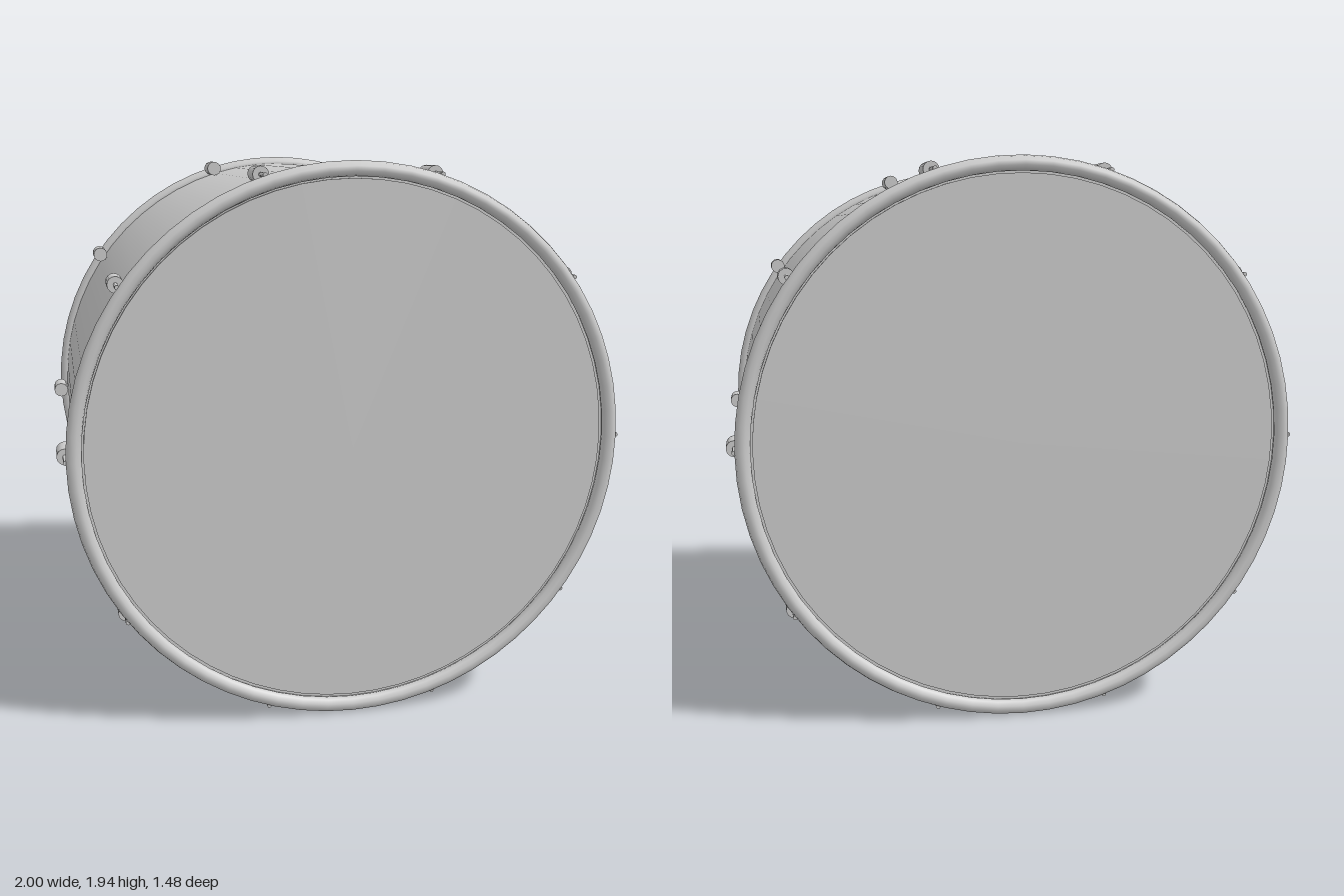
import * as THREE from 'three';

const CENTER_Y = 0.975;
const SHELL_R = 0.943;
const LUG_R = 0.972;
const LUGS = 10;

export function createModel() {
  const model = new THREE.Group();
  model.name = 'drum';
  const grey = new THREE.MeshStandardMaterial({ color: 0xcccccc });
  grey.name = 'light grey';

  const add = (parent, name, geometry, x = 0, y = 0, z = 0) => {
    const mesh = new THREE.Mesh(geometry, grey);
    mesh.name = name;
    mesh.position.set(x, y, z);
    parent.add(mesh);
  };
  // Cylinder lying along z
  const rod = (radius, length, sides) =>
    new THREE.CylinderGeometry(radius, radius, length, sides).rotateX(Math.PI / 2);

  const drum = new THREE.Group();
  drum.name = 'drumBody';
  drum.position.y = CENTER_Y;
  model.add(drum);

  // Closed barrel
  add(drum, 'shell', rod(SHELL_R, 1.4, 64));

  const hoopGeometry = new THREE.TorusGeometry(0.945, 0.026, 10, 64);
  const headGeometry = rod(0.913, 0.03, 64);
  const lugGeometry = rod(0.028, 0.106, 16);
  const tensionRodGeometry = rod(0.008, 0.1, 10);

  // Both ends carry a head, a hoop and a circle of tension lugs
  for (const side of [1, -1]) {
    const end = new THREE.Group();
    end.name = side > 0 ? 'frontEnd' : 'backEnd';
    drum.add(end);
    add(end, 'head', headGeometry, 0, 0, side * 0.695);
    add(end, 'hoop', hoopGeometry, 0, 0, side * 0.717);
    for (let i = 0; i < LUGS; i++) {
      const a = (i / LUGS) * Math.PI * 2;
      const x = Math.cos(a) * LUG_R;
      const y = Math.sin(a) * LUG_R;
      add(end, 'lug', lugGeometry, x, y, side * 0.58);
      add(end, 'tensionRod', tensionRodGeometry, x, y, side * 0.67);
    }
  }
  return model;
}
